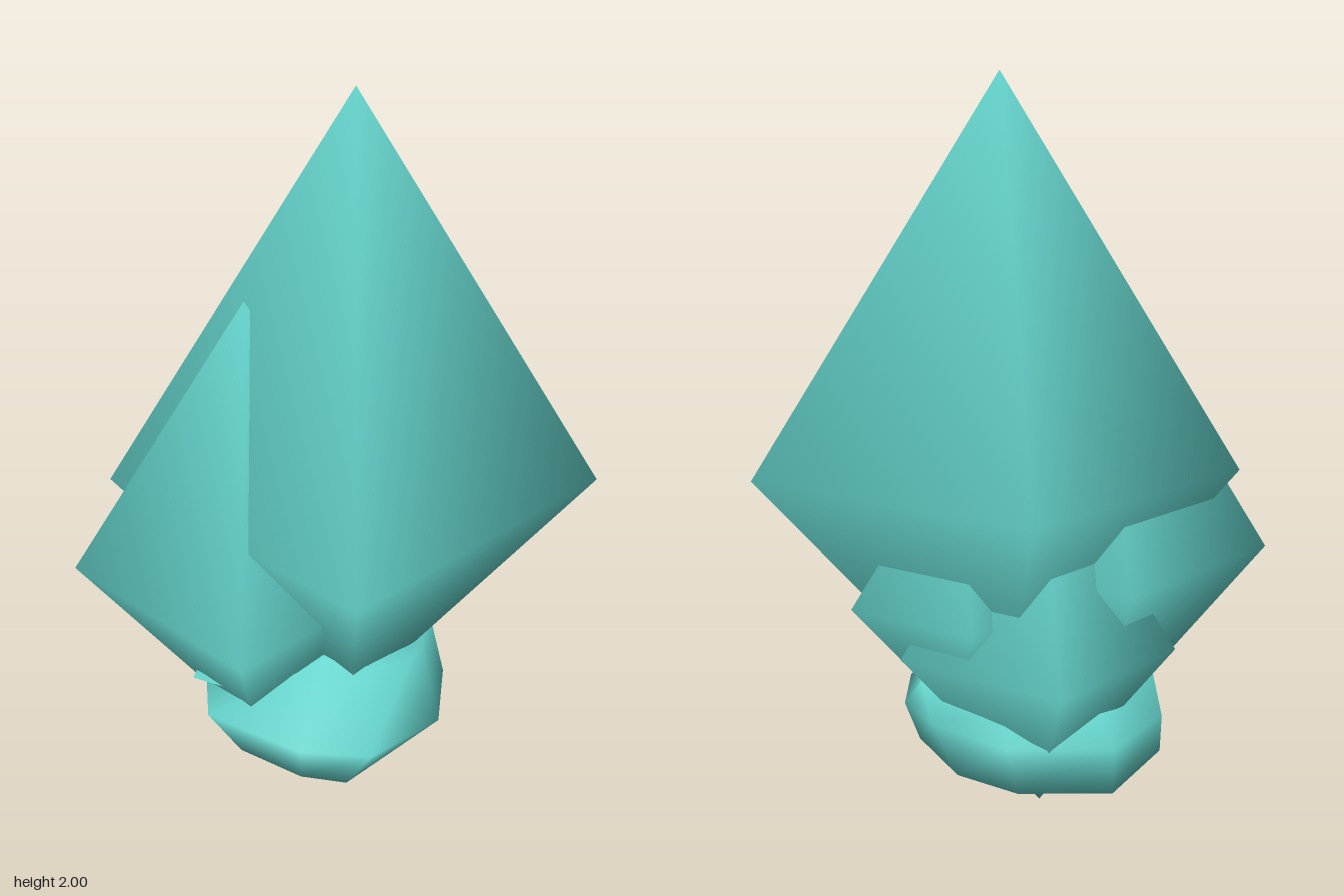
import * as THREE from 'three';
import { mergeVertices } from 'three/addons/utils/BufferGeometryUtils.js';

// Four-sided double-pointed crystal, tall above its girdle, smooth shaded
function crystalGeometry(radius) {
  let g = new THREE.OctahedronGeometry(1, 0);
  g.deleteAttribute('normal');
  g.deleteAttribute('uv');
  g = mergeVertices(g);
  const p = g.attributes.position;
  for (let i = 0; i < p.count; i++) {
    const y = p.getY(i);
    p.setXYZ(i, p.getX(i) * radius, y * radius * (y > 0 ? 1.607 : 1.1), p.getZ(i) * radius);
  }
  g.computeVertexNormals();
  return g;
}

// Closed skin over rings (bottom to top) with a centre point at each end
function loftRings(rings, bottom, top) {
  const n = rings[0].length, last = (rings.length - 1) * n;
  const points = [...rings.flat(), bottom, top];
  const index = [];
  const b = rings.length * n, t = b + 1;
  for (let j = 0; j < n; j++) {
    const k = (j + 1) % n;
    for (let i = 0; i < last; i += n) {
      index.push(i + j, i + n + j, i + k, i + k, i + n + j, i + n + k);
    }
    index.push(b, j, k, t, last + k, last + j);
  }
  const g = new THREE.BufferGeometry();
  g.setAttribute('position', new THREE.Float32BufferAttribute(points.flat(), 3));
  g.setIndex(index);
  g.computeVertexNormals();
  return g;
}

export function createModel() {
  const group = new THREE.Group();
  const teal = new THREE.MeshStandardMaterial({ color: 0x66d6ce });
  teal.name = 'teal crystal';

  const add = (name, geometry, x = 0, y = 0, z = 0) => {
    const m = new THREE.Mesh(geometry, teal);
    m.name = name;
    m.position.set(x, y, z);
    group.add(m);
  };

  // Crystals: name, girdle radius, girdle centre
  for (const [name, r, x, y, z] of [
    ['mainCrystal', 0.7, 0.05, 0.875, 0],
    ['sideCrystal', 0.513, -0.245, 0.625, 0.08],
    ['backCrystal', 0.38, -0.03, 0.42, -0.24],
    ['smallCrystal', 0.305, 0.175, 0.54, -0.155],
  ]) add(name, crystalGeometry(r), x, y, z);

  // Rough base rock
  const lower = [
    [0.29, 0.12, -0.05], [0.2, 0.1, 0.2], [0.03, 0.09, 0.385], [-0.1, 0.1, 0.37], [-0.28, 0.1, 0.25],
    [-0.4, 0.11, 0], [-0.38, 0.11, -0.2], [-0.2, 0.09, -0.43], [0.05, 0.09, -0.4], [0.2, 0.1, -0.28],
  ];
  const middle = [
    [0.33, 0.21, 0], [0.3, 0.21, 0.25], [0.1, 0.21, 0.42], [-0.1, 0.21, 0.4], [-0.37, 0.25, 0.28],
    [-0.4, 0.25, 0], [-0.38, 0.22, -0.22], [-0.2, 0.22, -0.45], [0.08, 0.22, -0.42], [0.27, 0.25, -0.28],
  ];
  const upper = [
    [0.26, 0.31, 0.02], [0.22, 0.34, 0.14], [0.1, 0.36, 0.2], [-0.03, 0.39, 0.2], [-0.23, 0.3, 0.26],
    [-0.42, 0.31, 0.18], [-0.27, 0.29, -0.15], [-0.18, 0.28, -0.35], [0.08, 0.3, -0.34], [0.29, 0.33, -0.17],
  ];
  const underside = lower.map(([x, , z]) => [x * 0.6, 0.04 - x * 0.04, z * 0.6]);
  add('baseRock', loftRings([underside, lower, middle, upper], [0.1, 0.025, -0.02], [-0.03, 0.34, 0]));

  return group;
}
